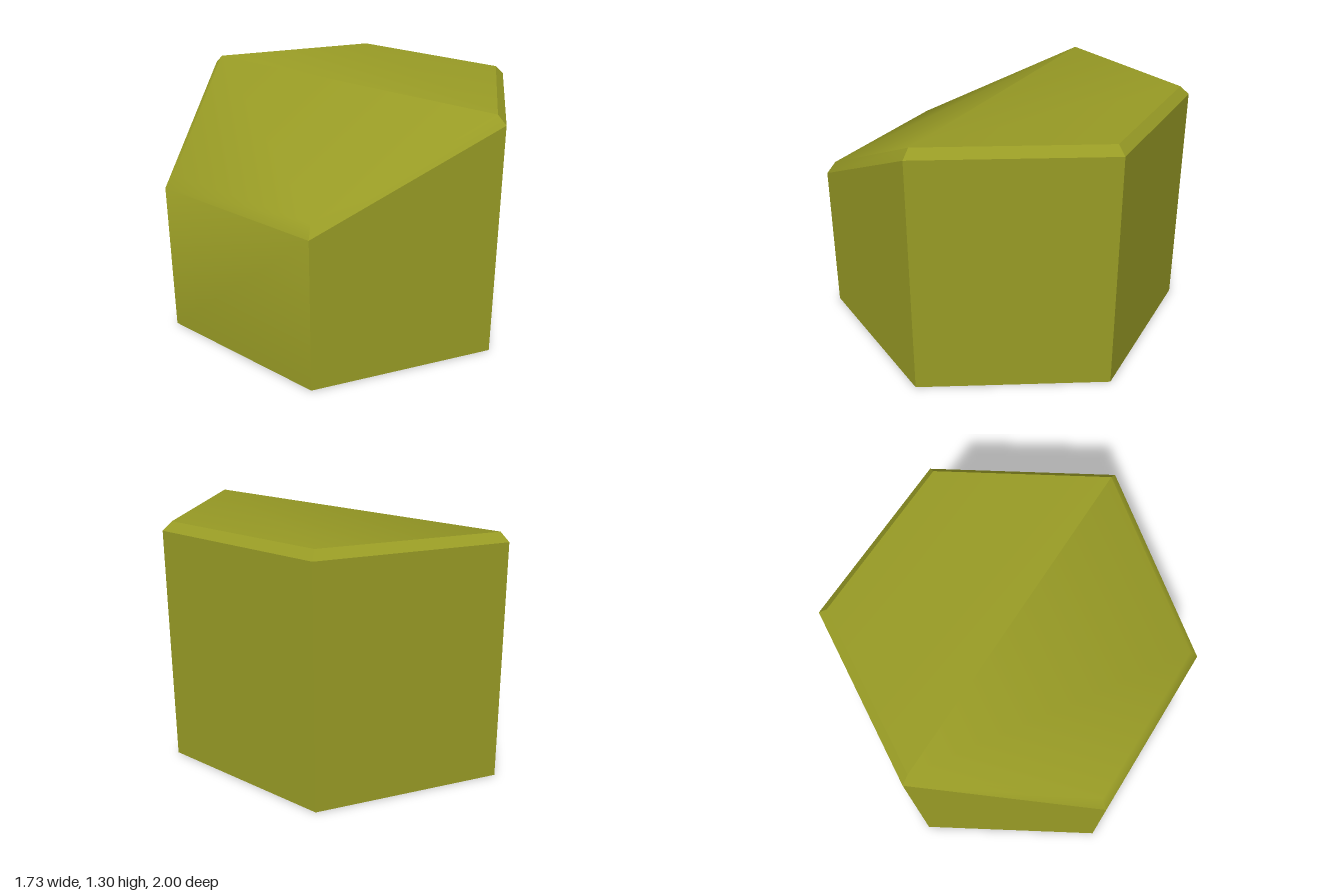
import * as THREE from 'three';
import { toCreasedNormals } from 'three/addons/utils/BufferGeometryUtils.js';

// Hexagonal cross-section; its height drops along a slope on the -x half
function ring(radius, heightAt) {
  return Array.from({ length: 6 }, (_, i) => {
    const a = (i * Math.PI) / 3;
    const x = radius * Math.sin(a);
    return [x, heightAt(x), radius * Math.cos(a)];
  });
}

export function createModel() {
  const olive = new THREE.MeshStandardMaterial({ color: 0x989b25 });
  olive.name = 'olive';

  const slope = (top) => (x) => top + 0.5 * Math.min(x, 0);
  const base = ring(1, () => 0);
  const rim = ring(1, slope(1.255));
  const inset = ring(0.95, slope(1.3));

  const positions = [];
  const quad = (a, b, c, d) => positions.push(...a, ...b, ...c, ...a, ...c, ...d);

  // Walls and bevelled edge
  for (let i = 0; i < 6; i++) {
    const j = (i + 1) % 6;
    quad(base[i], base[j], rim[j], rim[i]);
    quad(rim[i], rim[j], inset[j], inset[i]);
  }
  // Level half and sloping half of the top
  quad(inset[0], inset[1], inset[2], inset[3]);
  quad(inset[3], inset[4], inset[5], inset[0]);
  // Underside
  quad(base[3], base[2], base[1], base[0]);
  quad(base[0], base[5], base[4], base[3]);

  const geometry = new THREE.BufferGeometry();
  geometry.setAttribute('position', new THREE.Float32BufferAttribute(positions, 3));

  // Gentle edges blend, strong edges stay sharp
  const tile = new THREE.Mesh(toCreasedNormals(geometry, 0.67), olive);
  tile.name = 'slopedHexTile';

  const group = new THREE.Group();
  group.name = 'hexTile';
  group.add(tile);
  return group;
}
